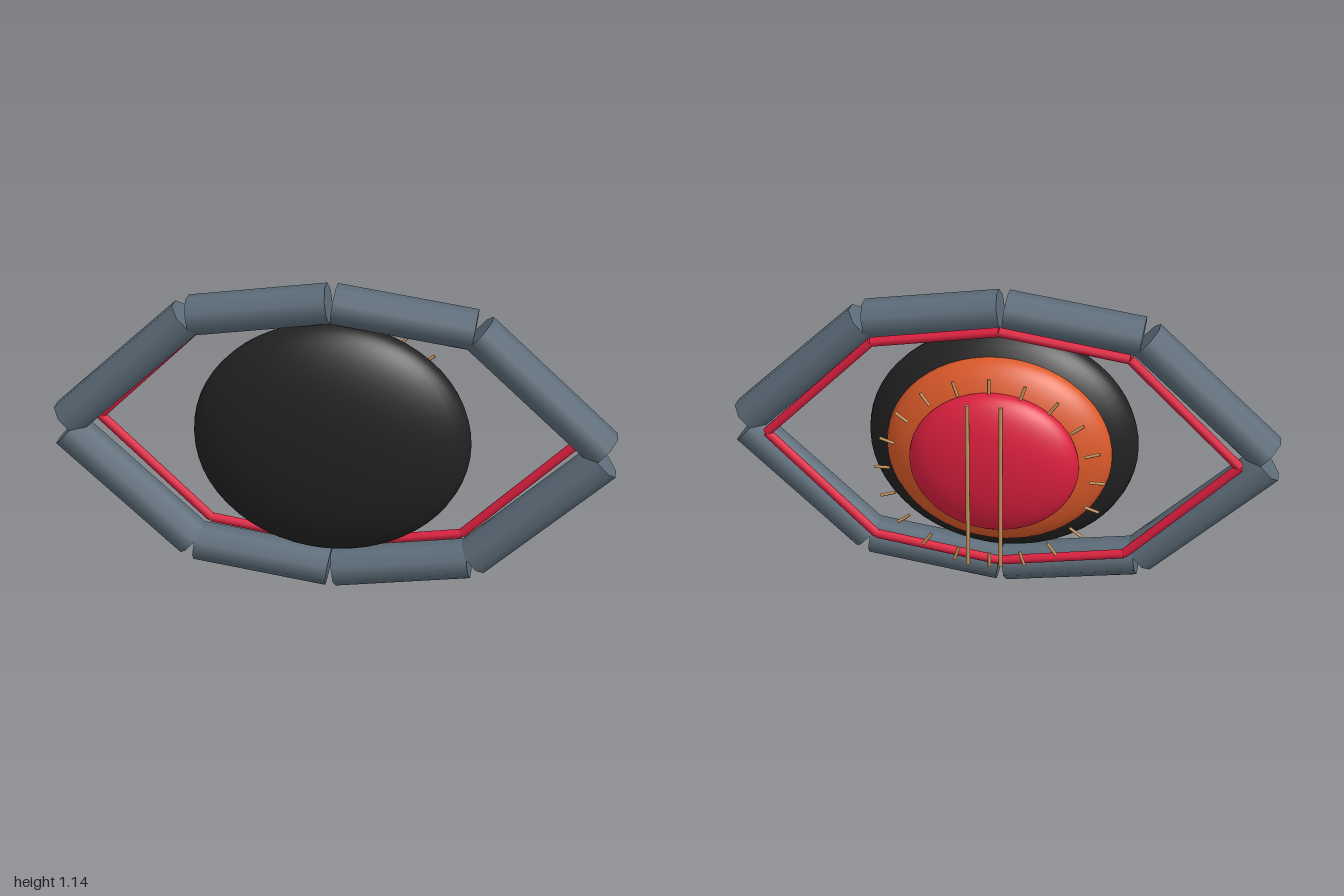
import * as THREE from 'three';

const mat = (name, color) => {
  const m = new THREE.MeshStandardMaterial({ color });
  m.name = name;
  return m;
};

const CY = 0.571; // height of the eye's centre

export function createModel() {
  const slate = mat('slate grey', 0x5c6c79);
  const black = mat('black', 0x222222);
  const orange = mat('orange', 0xdc5a2a);
  const red = mat('crimson', 0xdc1f3f);
  const tan = mat('tan', 0xc8955c);

  const model = new THREE.Group();
  model.name = 'eye';

  const group = (name) => {
    const g = new THREE.Group();
    g.name = name;
    model.add(g);
    return g;
  };

  // Straight rod between two points of an x-y plane; flat narrows it in that plane
  const rod = (parent, name, material, a, b, z, radius, sides, flat = 1) => {
    const dx = b[0] - a[0], dy = b[1] - a[1];
    const geo = new THREE.CylinderGeometry(radius, radius, Math.hypot(dx, dy), sides, 1, false, Math.PI / sides);
    geo.scale(flat, 1, 1);
    const mesh = new THREE.Mesh(geo, material);
    mesh.name = name;
    mesh.position.set((a[0] + b[0]) / 2, (a[1] + b[1]) / 2, z);
    mesh.rotation.z = Math.atan2(dy, dx) - Math.PI / 2;
    parent.add(mesh);
  };

  // Eyelid outlines: two rods per quarter, mirrored to all four quarters
  const outline = (name, part, material, segments, z, radius, flat) => {
    const g = group(name);
    for (const sx of [1, -1]) {
      for (const sy of [1, -1]) {
        for (const [a, b] of segments) {
          rod(g, part, material, [a[0] * sx, CY + a[1] * sy], [b[0] * sx, CY + b[1] * sy], z, radius, 8, flat);
        }
      }
    }
  };
  outline('outerFrame', 'frameTube', slate,
    [[[0.01, 0.506], [0.497, 0.437]], [[0.51, 0.429], [0.955, 0.022]]], 0.118, 0.0785, 0.9);
  outline('innerTrim', 'trimRod', red,
    [[[0, 0.456], [0.462, 0.386]], [[0.462, 0.386], [0.863, 0]]], 0.028, 0.017, 1);

  // Nested flattened domes
  const dome = (name, material, z, rx, ry, rz) => {
    const mesh = new THREE.Mesh(new THREE.SphereGeometry(1, 40, 28), material);
    mesh.name = name;
    mesh.scale.set(rx, ry, rz);
    mesh.position.set(0, CY + 0.004, z);
    model.add(mesh);
  };
  dome('eyeball', black, 0.12, 0.495, 0.43, 0.167);
  dome('iris', orange, 0.024, 0.41, 0.357, 0.138);
  dome('innerIris', red, -0.085, 0.305, 0.265, 0.103);

  // Ring of short radial ticks
  const ticks = group('tickRing');
  for (let i = 0; i < 20; i++) {
    const t = (i / 20) * Math.PI * 2, c = Math.cos(t), s = Math.sin(t);
    rod(ticks, 'tick', tan, [c * 0.355, CY + s * 0.312], [c * 0.41, CY + s * 0.367], -0.18, 0.006, 6);
  }

  // Pair of upright bars behind the iris
  const bars = group('pupilBars');
  for (const x of [-0.058, 0.058]) rod(bars, 'pupilBar', tan, [x, 0.265], [x, 0.88], -0.277, 0.0075, 8);

  return model;
}
